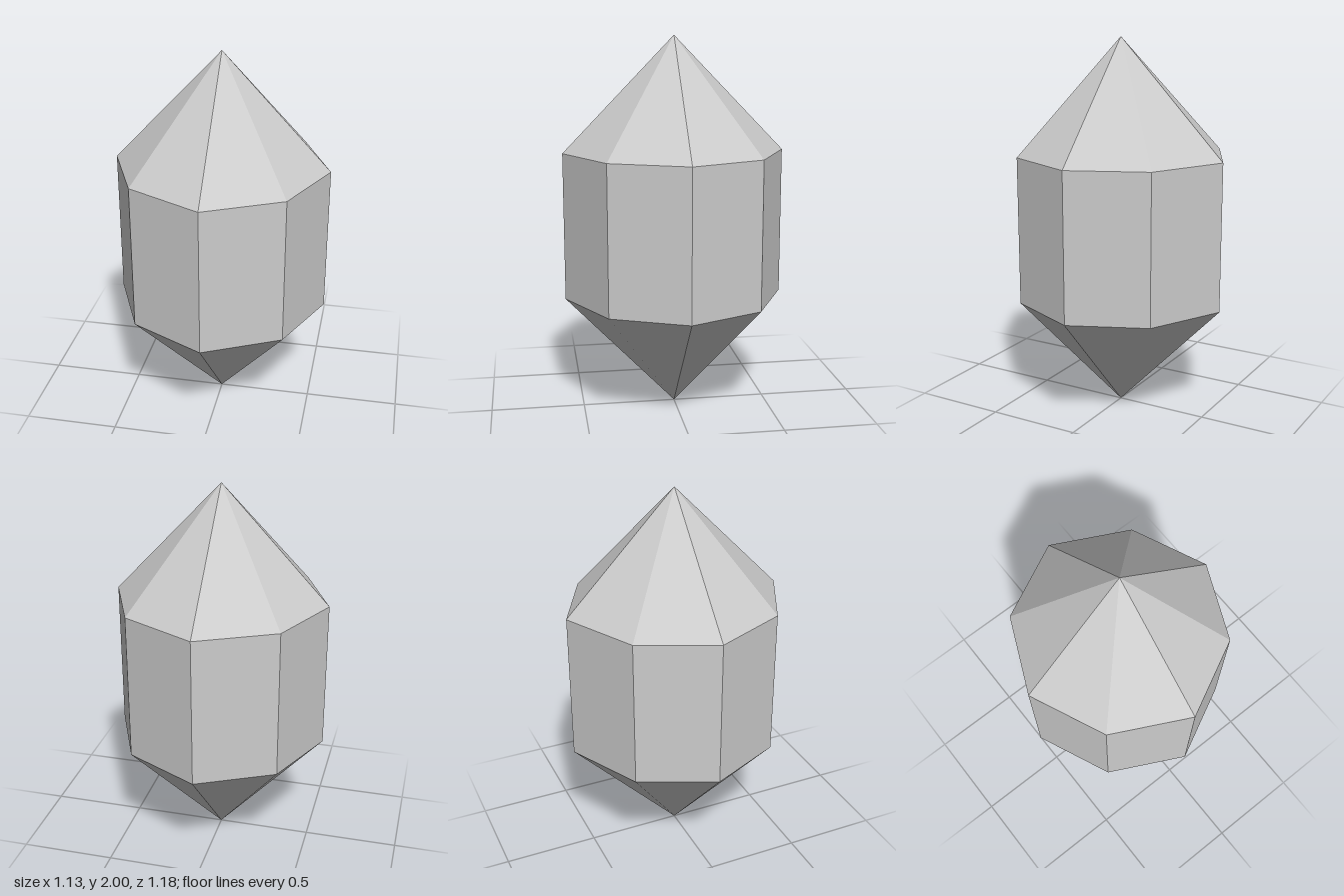
import * as THREE from 'three';

const SIDES = 8;
const RADIUS = 0.554; // diagonal corners
const AXIS_X = 0.566; // corners on the x axis
const AXIS_Z = 0.588; // corners on the z axis
const LOW = 0.61, HIGH = 1.395, TOP = 2;

// Push the four corners on the axes out to their own radii
function shapeRing(geometry) {
  const p = geometry.attributes.position;
  for (let i = 0; i < p.count; i++) {
    const x = p.getX(i), z = p.getZ(i);
    if (Math.hypot(x, z) < 1e-4) continue;
    if (Math.abs(z) < 1e-4) p.setX(i, Math.sign(x) * AXIS_X);
    if (Math.abs(x) < 1e-4) p.setZ(i, Math.sign(z) * AXIS_Z);
  }
  geometry.computeVertexNormals();
  return geometry;
}

export function createModel() {
  const group = new THREE.Group();
  group.name = 'crystal';
  const material = new THREE.MeshStandardMaterial({ color: 0xcccccc, flatShading: true });

  // Open eight-sided section between two heights
  const addSection = (name, topRadius, bottomRadius, y0, y1) => {
    const geometry = new THREE.CylinderGeometry(topRadius, bottomRadius, y1 - y0, SIDES, 1, true);
    const mesh = new THREE.Mesh(shapeRing(geometry), material);
    mesh.name = name;
    mesh.position.y = (y0 + y1) / 2;
    group.add(mesh);
  };

  addSection('upperPoint', 0, RADIUS, HIGH, TOP);
  addSection('body', RADIUS, RADIUS, LOW, HIGH);
  addSection('lowerPoint', RADIUS, 0, 0, LOW);
  return group;
}
